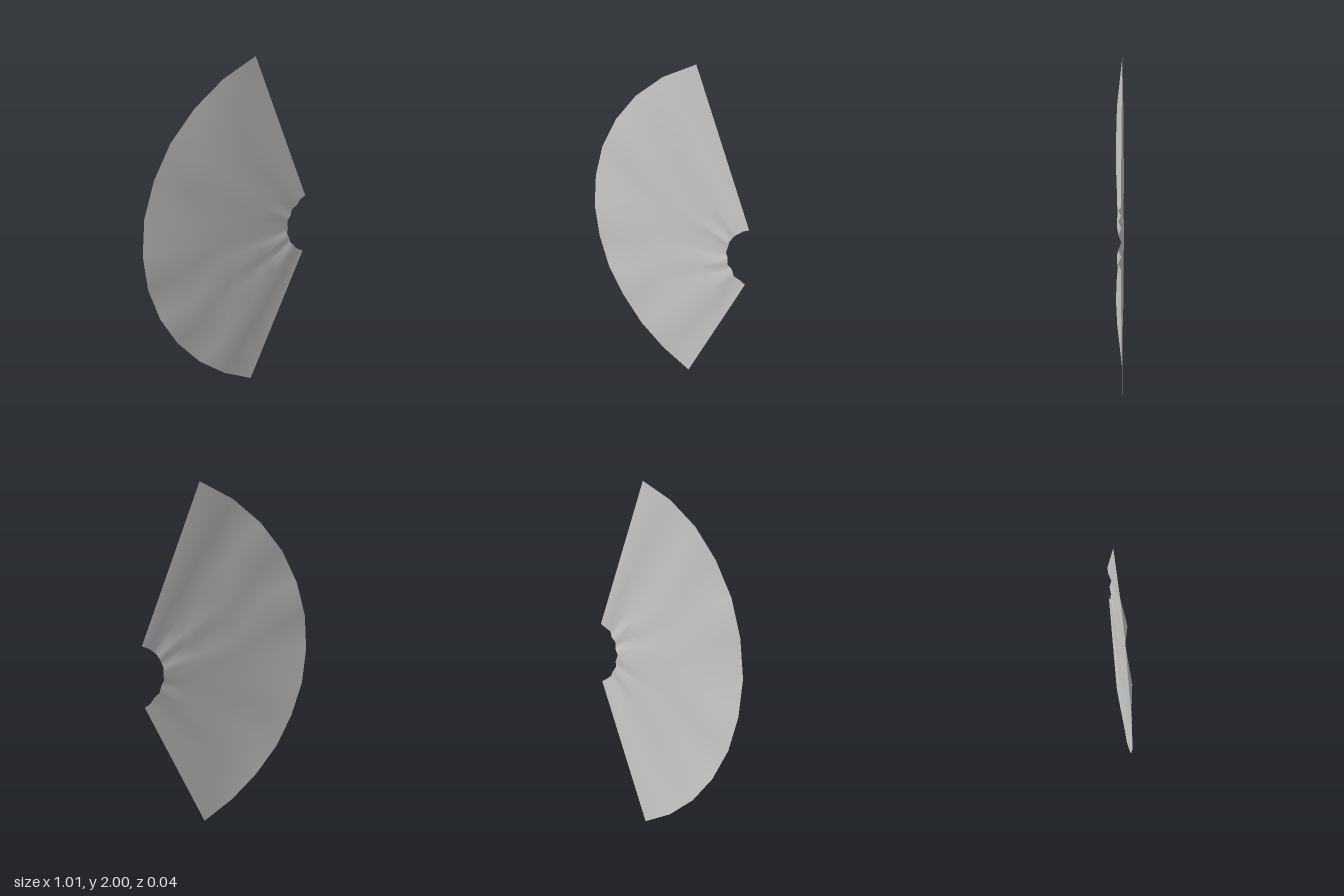
import * as THREE from 'three';

const COLUMNS = 12;                     // 11.25 degree panels
const HALF_ANGLE = THREE.MathUtils.degToRad(67.5);
const CENTRE_X = 0.577, CENTRE_Y = 1;
const BASE = -0.018, CREST = 0.017;

// Rings from the hub to the rim: radius and height of the fold crests
const RINGS = [
  { r: 0.192, crest: -0.003 },
  { r: 0.39, crest: 0.01 },
  { r: 0.62, crest: CREST },
  { r: 0.9, crest: CREST },
  { r: 1.082, crest: -0.011 },
];

// Pleated sheet: every second column is a crest, the side panels stay flat
function pleatedSheet() {
  const positions = [], index = [];
  const rows = RINGS.length;
  for (let i = 0; i <= COLUMNS; i++) {
    const a = HALF_ANGLE * (1 - (2 * i) / COLUMNS);
    const isEdge = i === 0 || i === COLUMNS;
    const isCrest = i % 2 === 0 && !isEdge;
    RINGS.forEach(({ r, crest }, j) => {
      // the middle fold ends a little sooner
      const radius = i === COLUMNS / 2 && j === 3 ? 0.83 : r;
      let z = isCrest ? crest : BASE;
      if (j === rows - 1 && !isEdge) z = isCrest ? crest : -0.014;
      positions.push(CENTRE_X - radius * Math.cos(a), CENTRE_Y + radius * Math.sin(a), z);
    });
  }
  for (let i = 0; i < COLUMNS; i++) {
    for (let j = 0; j < rows - 1; j++) {
      const a = i * rows + j, b = a + 1, c = a + rows, d = c + 1;
      // mirror the diagonals about the middle fold
      if (i < COLUMNS / 2) index.push(a, b, c, b, d, c);
      else index.push(a, b, d, a, d, c);
    }
  }
  const geometry = new THREE.BufferGeometry();
  geometry.setAttribute('position', new THREE.Float32BufferAttribute(positions, 3));
  geometry.setIndex(index);
  geometry.computeVertexNormals();
  return geometry;
}

export function createModel() {
  const group = new THREE.Group();
  group.name = 'pleatedFan';

  const paleGrey = new THREE.MeshStandardMaterial({ color: 0xcccccc, side: THREE.DoubleSide });
  paleGrey.name = 'paleGrey';

  const sheet = new THREE.Mesh(pleatedSheet(), paleGrey);
  sheet.name = 'fanSheet';
  group.add(sheet);
  return group;
}
